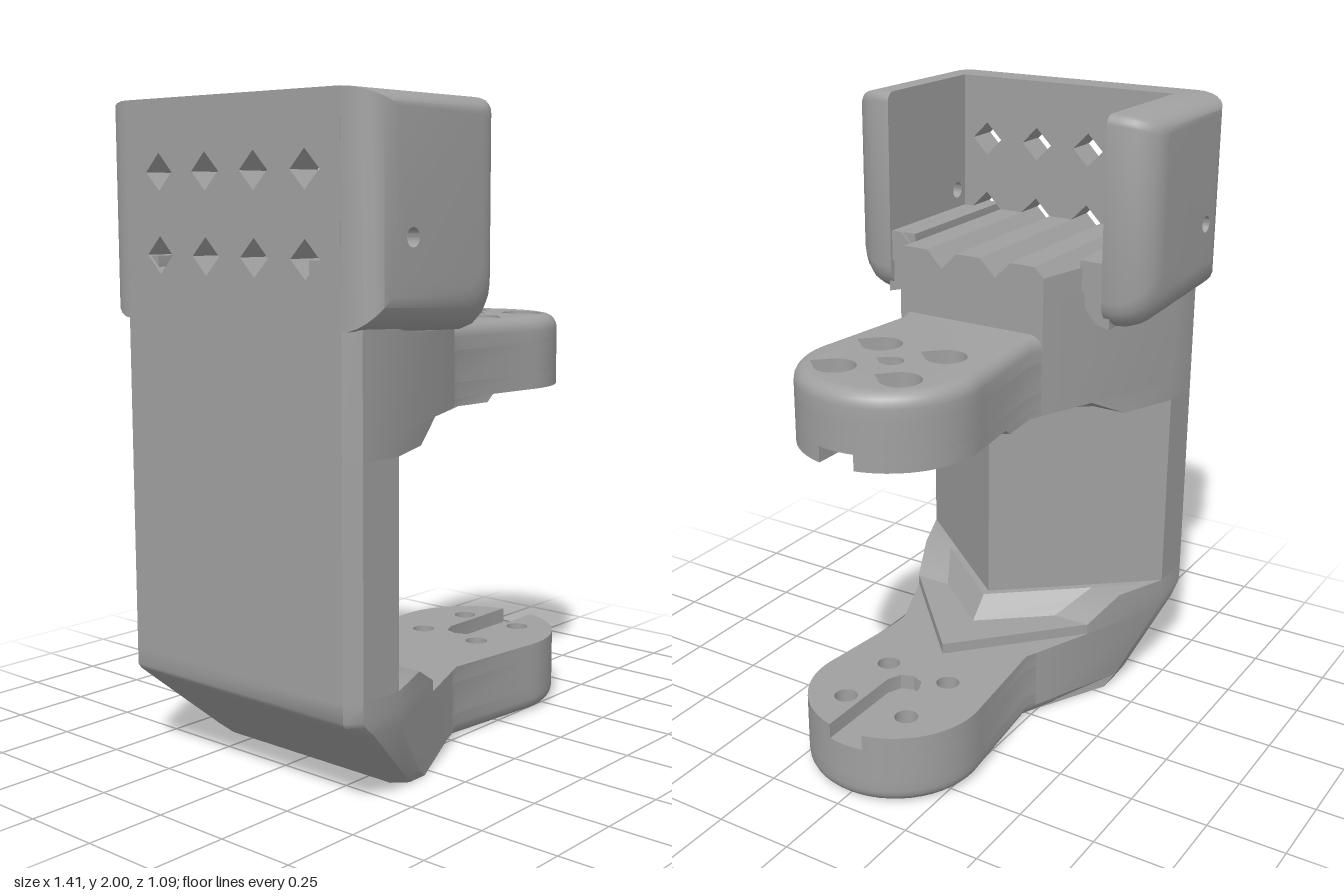
import * as THREE from 'three';
import { toCreasedNormals } from 'three/addons/utils/BufferGeometryUtils.js';

// Solid through stacked outlines [height, points], counter-clockwise, with straight through-holes
function loft(rows, holes = []) {
  const pos = [];
  const tri = (...c) => c.forEach(([p, h]) => pos.push(p[0], p[1], h));
  const wall = (lo, h0, hi, h1) => lo.forEach((p, i) => {
    const j = (i + 1) % lo.length;
    tri([p, h0], [lo[j], h0], [hi[j], h1]);
    tri([p, h0], [hi[j], h1], [hi[i], h1]);
  });
  for (let r = 0; r + 1 < rows.length; r++) wall(rows[r][1], rows[r][0], rows[r + 1][1], rows[r + 1][0]);
  const first = rows[0], last = rows[rows.length - 1];
  holes.forEach(h => wall(h, first[0], h, last[0]));
  const vec = l => l.map(p => new THREE.Vector2(p[0], p[1]));
  [[first, true], [last, false]].forEach(([[h, pts], flip]) => {
    const all = [...pts, ...holes.flat()];
    THREE.ShapeUtils.triangulateShape(vec(pts), holes.map(vec)).forEach(([a, b, c]) =>
      flip ? tri([all[a], h], [all[c], h], [all[b], h]) : tri([all[a], h], [all[b], h], [all[c], h]));
  });
  const g = new THREE.BufferGeometry();
  g.setAttribute('position', new THREE.Float32BufferAttribute(pos, 3));
  return toCreasedNormals(g, 0.6);
}

// Mirror a half outline (front to back) across the centre line
const mirror = half => [...half, ...half.filter(p => p[1] !== 0).reverse().map(([x, y]) => [x, -y])];

// Clockwise hole, with an optional pointed tip towards the front
function hole(cx, cy, r, tip = 0) {
  const pts = [];
  for (let i = 0; i < 20; i++) {
    const a = -Math.PI / 2 - (i / 20) * Math.PI * 2;
    const k = i === 0 && tip ? tip : r;
    if (tip && (i === 1 || i === 19)) continue;
    pts.push([cx + k * Math.cos(a), cy + k * Math.sin(a)]);
  }
  return pts;
}
const screwHoles = (r, tip) => [0.305, 0.54].flatMap(x => [-0.115, 0.115].map(y => hole(x, y, r, tip)));

// Half width of the tapering body at x
const taper = x => Math.min(0.47, 0.47 - 0.409 * (x + 0.52));

// Tongue outline with a round head; slot opens the head at the front
function tongue(inset = 0, slot = false) {
  const half = slot ? [[0.33, 0], [0.345, 0.04], [0.39, 0.06]] : [];
  const a0 = slot ? 0.212 : 0;
  for (let i = 0; i <= 14; i++) {
    const a = a0 + (1.75 - a0) * i / 14;
    half.push([0.42 + (0.285 - inset) * Math.cos(a), i || slot ? (0.285 - inset) * Math.sin(a) : 0]);
  }
  half.push([0.03, 0.245 - inset], [-0.1, 0.298 - inset]);
  return mirror(half);
}

// Column outline: front edge xf, back edge xb, half width w
const column = (xf, xb, w, trim = 0) => mirror([
  [xf, taper(xf) - trim], [-0.52 + (0.47 - w) / 0.409, w], [xb + 0.04, w], [xb, w - 0.04]]);

// Rounded edge as [distance from face, inset] steps
const rounding = (r, n = 5) => Array.from({ length: n + 1 }, (_, i) => {
  const a = (i / n) * Math.PI / 2;
  return [r * (1 - Math.sin(a)), r * (1 - Math.cos(a))];
});

export function createModel() {
  const model = new THREE.Group();
  const grey = new THREE.MeshStandardMaterial({ color: 0xa0a0a0 });
  grey.name = 'grey plastic';
  const add = (name, geometry) => {
    const m = new THREE.Mesh(geometry, grey);
    m.name = name;
    model.add(m);
  };
  const upright = (name, rows, holes) => add(name, loft(rows, holes).rotateX(-Math.PI / 2));
  const alongX = (name, rows, holes) => add(name, loft(rows, holes).rotateY(Math.PI / 2));

  // Lower column with sloped heel, and ramp up to the spine
  upright('lowerBody', [
    [0, column(-0.01, -0.4, 0.375, 0.03)], [0.035, column(-0.01, -0.44, 0.395)],
    [0.235, column(-0.01, -0.66, 0.465)], [0.235, column(-0.21, -0.66, 0.465)],
    [0.27, column(-0.21, -0.7, 0.47)], [0.285, column(-0.238, -0.71, 0.47)],
    [0.34, column(-0.34, -0.71, 0.47)]]);

  // Wedge-fronted spine and its chamfers
  const spine = mirror([[-0.13, 0], [-0.52, 0.47], [-0.67, 0.47], [-0.71, 0.43]]);
  upright('spine', [[0.34, spine], [1.01, spine]]);
  const narrow = mirror([[-0.1, 0], [-0.44, 0.41], [-0.6, 0.41]]);
  const wide = mirror([[-0.03, 0], [-0.36, 0.4], [-0.6, 0.4]]);
  upright('lowerChamfer', [[0.25, wide], [0.27, wide], [0.34, narrow]]);
  upright('upperChamfer', [[1.01, narrow], [1.075, wide], [1.09, wide]]);

  // Upper column under the tray
  upright('upperBody', [
    [1.01, column(-0.33, -0.71, 0.47)], [1.075, column(-0.2, -0.71, 0.47)],
    [1.075, column(-0.01, -0.71, 0.47)], [1.48, column(-0.01, -0.71, 0.47)]]);

  // Lower tongue: recessed screw seats below, slot on top
  const edge = rounding(0.045);
  upright('lowerTongueBase', [...edge.map(([d, i]) => [d, i]).reverse().map(([d, i]) => [d, tongue(i)])
    , [0.08, tongue()]].sort((a, b) => a[0] - b[0]), screwHoles(0.06));
  upright('lowerTongue', [[0.08, tongue()], [0.185, tongue()]], screwHoles(0.037));
  upright('lowerTongueSlot', [[0.185, tongue(0, true)], [0.235, tongue(0, true)]], screwHoles(0.037));
  const pad = mirror([[0.16, 0], [-0.21, 0.34], [-0.3, 0.34]]);
  upright('lowerPad', [[0.23, pad], [0.27, pad]]);

  // Upper tongue: slot below, teardrop screw seats on top
  const pilot = hole(0.42, 0, 0.037, 0.055);
  const web = x => mirror([[x, 0], [x - 0.03, 0.13], [x - 0.1, 0.255], [0.03, 0.245], [-0.1, 0.298]]);
  upright('upperWeb', [[1.075, web(0.27)], [1.1, web(0.3)]]);
  upright('upperTongueSlot', [[1.1, tongue(0, true)], [1.15, tongue(0, true)]], screwHoles(0.037, 0.053));
  upright('upperTongue', [[1.15, tongue()], [1.25, tongue()]], [...screwHoles(0.037, 0.055), pilot]);
  upright('upperTongueTop', [[1.25, tongue()],
    ...edge.slice().reverse().map(([d, i]) => [1.335 - d, tongue(i)]).sort((a, b) => a[0] - b[0])],
  [...screwHoles(0.064, 0.09), pilot]);

  // Grooved tray floor
  const grooves = [-0.285, -0.09, 0.105, 0.3];
  const height = z => 1.55 - Math.max(0, ...grooves.map(c => 0.055 - Math.abs(z - c)));
  const stops = [-0.4, ...grooves.flatMap(c => [c - 0.055, c, c + 0.055]), 0.4];
  const floor = w => [[-w, 1.45], [w, 1.45], ...stops.map(s => {
    const z = Math.max(-w, Math.min(w, s));
    return [-z, height(z)];
  })];
  alongX('trayFloor', [[-0.61, floor(0.395)], [-0.15, floor(0.395)],
    [-0.15, floor(taper(-0.15))], [-0.01, floor(taper(-0.01))]]);

  // Back wall with diamond holes
  const diamonds = grooves.flatMap(z => [1.55, 1.79].map(y =>
    [[-z, y + 0.055], [-z + 0.055, y], [-z, y - 0.055], [-z - 0.055, y]]));
  const wall = [[-0.43, 1.475], [0.43, 1.475], [0.43, 2], [-0.43, 2]];
  alongX('backWall', [[-0.71, wall], [-0.6, wall]], diamonds);

  // Side arms: pillowed outside, flat inside
  const arm = k => {
    const e = 1 - k, x0 = -0.71 + 0.1 * e, x1 = -0.14 - 0.1 * e, y0 = 1.34 + 0.12 * e, y1 = 2 - 0.05 * e;
    const corner = (cx, cy, r, a) => [0, 1, 2, 3, 4].map(i => {
      const t = a + i * Math.PI / 8;
      return [cx + r * Math.cos(t), cy + r * Math.sin(t)];
    });
    return [[x0, y0 + 0.02], ...corner(x1 - 0.09, y0 + 0.09, 0.09, -Math.PI / 2),
      ...corner(x1 - 0.03, y1 - 0.03, 0.03, 0), [x0, y1]];
  };
  const armRows = [[0.39, arm(1)]];
  for (let i = 0; i <= 7; i++) {
    const a = i / 7 * Math.PI / 2;
    armRows.push([0.425 + 0.12 * Math.sin(a), arm(Math.cos(a))]);
  }
  const bore = [hole(-0.55, 1.61, 0.027)];
  add('leftArm', loft(armRows, bore));
  add('rightArm', loft(armRows.map(([h, p]) => [-h, p]).reverse(), bore));

  // Rounded shelves joining the arms to the column
  const shelf = [[0.41, 1.34], [0.41, 1.548], [0.305, 1.548], [0.305, 1.46], [0.33, 1.39], [0.365, 1.352]];
  const shelfMirror = shelf.map(([a, b]) => [-a, b]).reverse();
  for (const s of [shelf, shelfMirror]) alongX('armShelf', [[-0.7, s], [-0.16, s]]);

  // Locating strip inside the far arm
  const strip = new THREE.BoxGeometry(0.13, 0.44, 0.025);
  strip.translate(-0.535, 1.77, -0.3785);
  add('locatingStrip', strip);
  return model;
}
